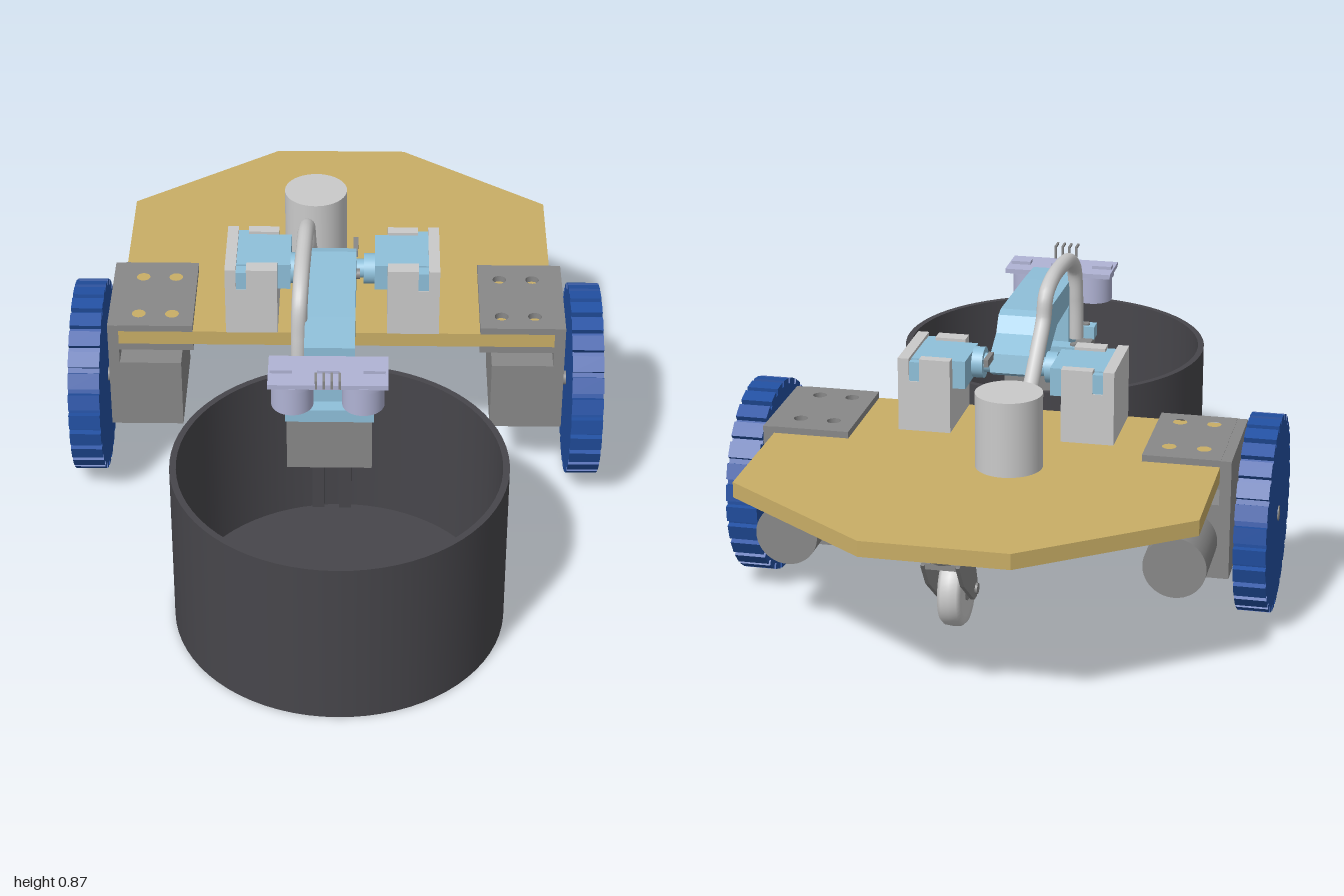
import * as THREE from 'three';

const mat = (name, color) => {
  const m = new THREE.MeshStandardMaterial({ color });
  m.name = name;
  return m;
};

export function createModel() {
  const root = new THREE.Group();
  root.name = 'vacuumRobot';
  const wood = mat('plywood', 0xc9ae66);
  const metal = mat('greyMetal', 0x888888);
  const pale = mat('lightGrey', 0xcacaca);
  const blue = mat('wheelBlue', 0x2250a2);
  const sky = mat('lightBlue', 0x8fc0da);
  const lilac = mat('lavender', 0xb0b3d4);
  const dark = mat('charcoal', 0x47464b);
  dark.side = THREE.DoubleSide;

  const add = (name, geo, m, x = 0, y = 0, z = 0, parent = root) => {
    const mesh = new THREE.Mesh(geo, m);
    mesh.name = name;
    mesh.position.set(x, y, z);
    parent.add(mesh);
    return mesh;
  };
  // box given by its minimum and maximum on each axis
  const box = (name, m, x0, x1, y0, y1, z0, z1) =>
    add(name, new THREE.BoxGeometry(Math.abs(x1 - x0), y1 - y0, z1 - z0), m,
      (x0 + x1) / 2, (y0 + y1) / 2, (z0 + z1) / 2);
  const cyl = (name, m, r, len, x, y, z, axis = 'y', r2 = r) => {
    const g = new THREE.CylinderGeometry(r, r2, len, 40);
    if (axis === 'x') g.rotateZ(Math.PI / 2);
    if (axis === 'z') g.rotateX(Math.PI / 2);
    return add(name, g, m, x, y, z);
  };
  const shapeOf = pts => new THREE.Shape(pts.map(p => new THREE.Vector2(...p)));
  const extrude = (shape, depth) =>
    new THREE.ExtrudeGeometry(shape, { depth, bevelEnabled: false, curveSegments: 20 });
  // horizontal slab from (x, -z) points, its underside at the mesh position
  const slab = (shape, h) => extrude(shape, h).rotateX(-Math.PI / 2);
  // (z, y) outline extruded along x, centred on the mesh position
  const sidePlate = (pts, w) =>
    extrude(shapeOf(pts.map(([z, y]) => [-z, y])), w).translate(0, 0, -w / 2).rotateY(Math.PI / 2);

  // chassis deck
  add('deck', slab(shapeOf([[-0.6, 0.02], [0.6, 0.02], [0.6, 0.7], [0.19, 1], [-0.19, 1], [-0.6, 0.7]]), 0.042),
    wood, 0, 0.441, 0);

  // drive wheel outline with square treads
  const teeth = 28, rim = [];
  for (let i = 0; i < teeth; i++)
    for (const [f, r] of [[0, 0.267], [0.72, 0.267], [0.74, 0.251], [0.98, 0.251]]) {
      const a = ((i + f) / teeth) * Math.PI * 2;
      rim.push([Math.cos(a) * r, Math.sin(a) * r]);
    }

  for (const s of [-1, 1]) {
    const side = s > 0 ? 'left' : 'right';
    // drive wheel, axle and motor
    add(side + 'DriveWheel', sidePlate(rim, 0.086), blue, s * 0.687, 0.274, -0.113);
    cyl(side + 'Axle', metal, 0.02, 0.134, s * 0.666, 0.274, -0.113, 'x');
    box(side + 'Gearbox', metal, s * 0.43, s * 0.602, 0.17, 0.377, -0.34, -0.02);
    cyl(side + 'Motor', metal, 0.083, 0.2, s * 0.515, 0.273, -0.43, 'z');
    // clamp bracket around the deck edge
    box(side + 'BracketWall', metal, s * 0.6, s * 0.63, 0.17, 0.5, -0.34, -0.02);
    const plate = shapeOf([[0.395, 0.02], [0.602, 0.02], [0.602, 0.34], [0.395, 0.34]].map(([x, z]) => [s * x, z]));
    for (const hx of [0.455, 0.547]) for (const hz of [0.08, 0.265]) {
      const hole = new THREE.Path();
      hole.absarc(s * hx, hz, 0.019, 0, Math.PI * 2, true);
      plate.holes.push(hole);
    }
    add(side + 'BracketTop', slab(plate, 0.019), metal, 0, 0.482, 0);
    add(side + 'BracketBottom', slab(plate, 0.02), metal, 0, 0.421, 0);

    // lift servo in its cradle
    const c = -0.011, X = d => c + s * d;
    box(side + 'CradleBase', pale, X(0.15), X(0.292), 0.483, 0.6, -0.245, -0.018);
    box(side + 'CradleOuterWall', pale, X(0.262), X(0.292), 0.6, 0.685, -0.245, -0.018);
    for (const [z0, z1] of [[-0.245, -0.216], [-0.06, -0.018]]) {
      box(side + 'CradleWall', pale, X(0.15), X(0.234), 0.6, 0.685, z0, z1);
      box(side + 'CradleWallSill', pale, X(0.234), X(0.262), 0.6, 0.622, z0, z1);
      box(side + 'ServoEar', sky, X(0.234), X(0.262), 0.622, 0.675, z0 + 0.004, z1 - 0.004);
    }
    box(side + 'Servo', sky, X(0.115), X(0.262), 0.6, 0.677, -0.216, -0.06);
    cyl(side + 'ServoBoss', sky, 0.042, 0.03, X(0.1), 0.64, -0.105, 'x');
    cyl(side + 'ServoShaft', sky, 0.026, 0.05, X(0.08), 0.64, -0.105, 'x');
  }

  // lifting arm
  add('arm', sidePlate([[0.433, 0.56], [0.433, 0.745], [0.3, 0.752], [0, 0.76], [-0.03, 0.752], [-0.06, 0.71],
    [-0.13, 0.675], [-0.14, 0.625], [-0.1, 0.605], [0, 0.625], [0.13, 0.68], [0.295, 0.682], [0.295, 0.56]], 0.13),
  sky, -0.011, 0, 0);
  box('armLever', metal, 0.045, 0.058, 0.66, 0.68, -0.2, -0.13);
  cyl('armScrew', metal, 0.014, 0.012, 0.058, 0.69, 0, 'x');

  // gripper head hanging into the drum
  box('gripperBody', metal, -0.122, 0.1, 0.38, 0.542, 0.25, 0.455);
  box('gripperCover', sky, -0.076, 0.054, 0.542, 0.575, 0.28, 0.44);
  for (const [z0, z1] of [[0.24, 0.285], [0.428, 0.472]]) {
    box('gripperFlange', sky, -0.125, 0.105, 0.54, 0.577, z0, z1);
    for (const x of [-0.098, 0.078])
      cyl('flangeScrew', metal, 0.011, 0.006, x, 0.579, (z0 + z1) / 2);
  }
  for (const x of [-0.04, 0.03])
    box('gripperFinger', dark, x - 0.016, x + 0.016, 0.24, 0.4, 0.4, 0.445);

  // open drum: outer wall, rim, inner wall and floor
  const drumProfile = [[0, 0], [0.437, 0], [0.437, 0], [0.437, 0.478], [0.437, 0.478], [0.42, 0.478],
    [0.42, 0.478], [0.42, 0.015], [0.42, 0.015], [0, 0.015]];
  for (let i = 0; i < drumProfile.length - 1; i++) {
    const [a, b] = [drumProfile[i], drumProfile[i + 1]];
    if (a[0] === b[0] && a[1] === b[1]) continue;
    add('drum', new THREE.LatheGeometry([new THREE.Vector2(...a), new THREE.Vector2(...b)], 72),
      dark, 0.017, 0, 0.563);
  }

  // vacuum pump and hose
  cyl('pump', pale, 0.088, 0.203, -0.064, 0.5835, -0.44);
  const hose = new THREE.CatmullRomCurve3([
    [-0.092, 0.58, 0.325], [-0.092, 0.7, 0.318], [-0.09, 0.79, 0.3], [-0.087, 0.832, 0.24], [-0.083, 0.846, 0.12],
    [-0.08, 0.84, 0.02], [-0.077, 0.815, -0.035], [-0.074, 0.75, -0.052], [-0.07, 0.69, -0.1],
    [-0.066, 0.6, -0.19], [-0.064, 0.53, -0.27], [-0.064, 0.51, -0.38],
  ].map(p => new THREE.Vector3(...p)));
  add('hose', new THREE.TubeGeometry(hose, 90, 0.021, 16), pale);

  // distance sensor with two downward cans
  box('sensorBoard', lilac, -0.165, 0.14, 0.717, 0.73, 0.447, 0.577);
  for (const x of [-0.104, 0.077]) {
    cyl('sensorCan', lilac, 0.054, 0.085, x, 0.677, 0.52);
    cyl('sensorCanCollar', lilac, 0.059, 0.014, x, 0.712, 0.52);
  }
  for (const x of [-0.132, -0.012, 0.105])
    box('sensorChip', lilac, x - 0.028, x + 0.028, 0.73, 0.739, 0.497, 0.525);
  for (let i = 0; i < 4; i++) {
    const x = -0.042 + i * 0.02;
    box('sensorPin', metal, x - 0.003, x + 0.003, 0.72, 0.768, 0.574, 0.58);
    box('sensorPinTip', metal, x - 0.003, x + 0.003, 0.762, 0.768, 0.58, 0.612);
  }

  // rear caster: plate, swivel, fork and wheel
  box('casterPlate', metal, -0.1, 0.1, 0.428, 0.441, -0.955, -0.785);
  for (const x of [-0.075, 0.075]) for (const z of [-0.93, -0.81])
    cyl('casterBolt', dark, 0.012, 0.008, x, 0.426, z);
  cyl('casterSwivel', metal, 0.075, 0.025, 0, 0.416, -0.87, 'y', 0.06);
  for (const x of [-0.044, 0.044])
    add('casterFork', sidePlate([[-0.79, 0.405], [-0.94, 0.405], [-0.89, 0.335], [-0.78, 0.252], [-0.755, 0.25],
      [-0.738, 0.27], [-0.745, 0.295]], 0.01), metal, x, 0, 0);
  box('casterForkCrown', metal, -0.049, 0.049, 0.392, 0.407, -0.93, -0.795);
  const tread = [[0.03, -0.028], [0.07, -0.028], [0.088, -0.03], [0.097, -0.02], [0.099, 0], [0.097, 0.02],
    [0.088, 0.03], [0.07, 0.028], [0.03, 0.028]].map(p => new THREE.Vector2(...p));
  add('casterWheel', new THREE.LatheGeometry(tread, 48).rotateZ(Math.PI / 2), pale, 0, 0.276, -0.763);
  cyl('casterHub', metal, 0.032, 0.06, 0, 0.276, -0.763, 'x');
  cyl('casterAxle', metal, 0.014, 0.11, 0, 0.276, -0.763, 'x');
  return root;
}
